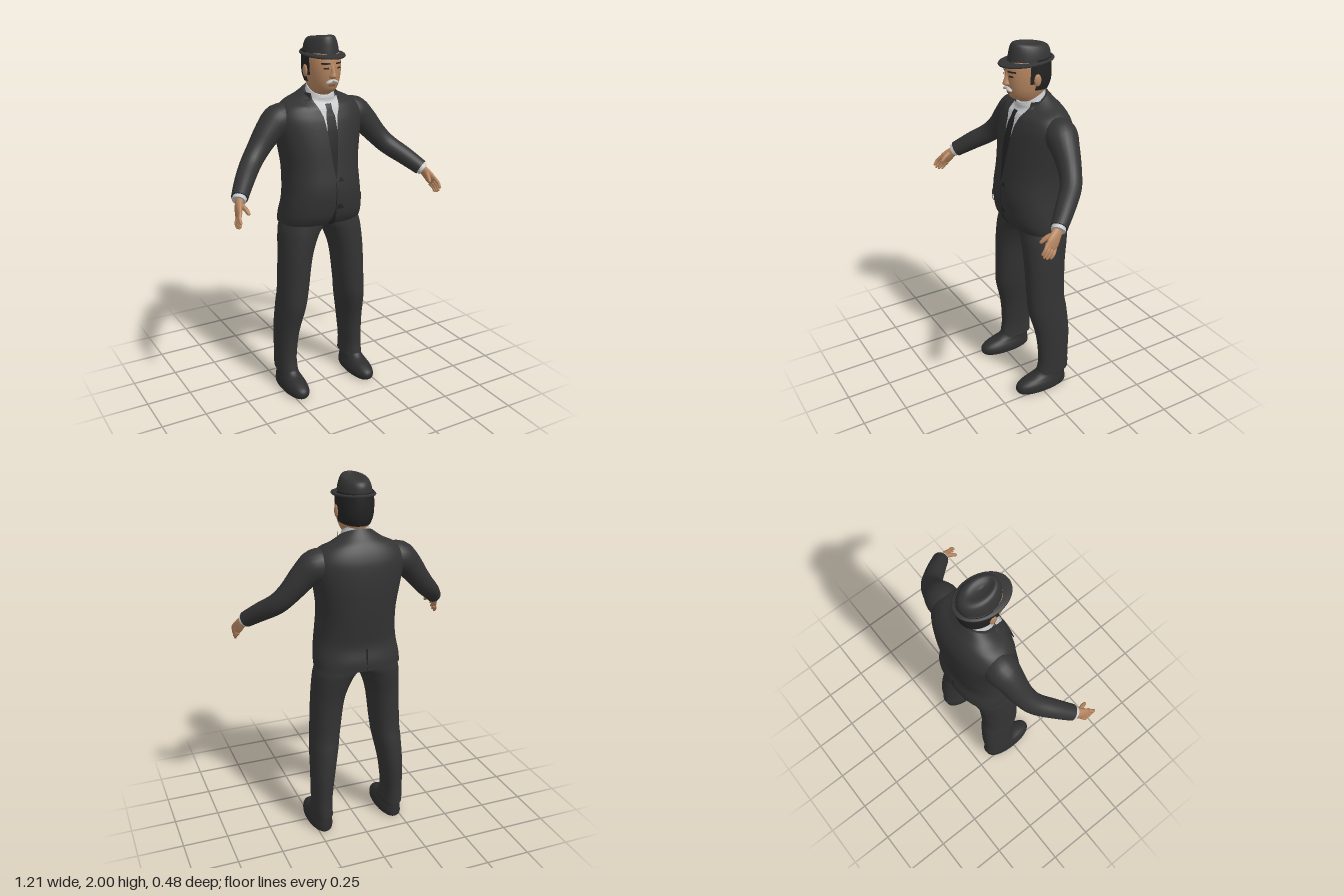
import * as THREE from 'three';

const mat = (name, color, side = THREE.FrontSide) => {
  const m = new THREE.MeshStandardMaterial({ color, side });
  m.name = name;
  return m;
};

// Surface through rows of points; closed rows wrap around and get flat end caps
function loft(rows, closed = true) {
  const n = rows[0].length, pos = [], idx = [];
  const add = (p) => pos.push(p.x, p.y, p.z) / 3 - 1;
  rows.forEach((r) => r.forEach(add));
  for (let i = 0; i < rows.length - 1; i++) {
    for (let j = 0; j < (closed ? n : n - 1); j++) {
      const a = i * n + j, b = i * n + (j + 1) % n;
      idx.push(a, a + n, b, b, a + n, b + n);
    }
  }
  if (closed) [rows[0], rows[rows.length - 1]].forEach((ring, end) => {
    const c = add(ring.reduce((s, p) => s.add(p), new THREE.Vector3()).divideScalar(n));
    ring.forEach(add);
    for (let j = 0; j < n; j++) {
      const a = c + 1 + j, b = c + 1 + (j + 1) % n;
      idx.push(c, end ? b : a, end ? a : b);
    }
  });
  const g = new THREE.BufferGeometry();
  g.setAttribute('position', new THREE.Float32BufferAttribute(pos, 3));
  g.setIndex(idx);
  g.computeVertexNormals();
  return g;
}

// Catmull-Rom refinement of every column in a table of rows
function refine(rows, k = 5) {
  const out = [], at = (i) => rows[Math.max(0, Math.min(rows.length - 1, i))];
  for (let i = 0; i < rows.length - 1; i++) {
    for (let s = 0; s < k; s++) {
      const t = s / k;
      out.push(rows[i].map((b, c) => {
        const a = at(i - 1)[c], d = at(i + 1)[c], e = at(i + 2)[c];
        return b + 0.5 * t * (d - a + t * (2 * a - 5 * b + 4 * d - e + t * (3 * (b - d) + e - a)));
      }));
    }
  }
  out.push(rows[rows.length - 1]);
  return out;
}

// Level rings from rows of [y, centre x, half width, front z, back z, roundness, rise at back]
function rings(rows, n = 40, a0 = 0, a1 = Math.PI * 2, closed = true) {
  const pw = (v, p) => Math.sign(v) * Math.abs(v) ** (2 / p);
  return rows.map(([y, cx, rx, zf, zb, p = 2, tilt = 0]) => Array.from({ length: n }, (_, j) => {
    const a = a0 + (a1 - a0) * j / (closed ? n : n - 1), s = pw(Math.sin(a), p);
    return new THREE.Vector3(cx + rx * pw(Math.cos(a), p), y - tilt * s, (zf + zb) / 2 + s * (zf - zb) / 2);
  }));
}

// Limb along a path from rows of [x, y, z, radius, second radius]
function limb(rows, side, ref, n = 18) {
  const r = refine(rows, 4), up = new THREE.Vector3(ref[0] * side, ref[1], ref[2]);
  const pts = r.map((q) => new THREE.Vector3(q[0] * side, q[1], q[2]));
  return loft(pts.map((c, i) => {
    const t = pts[Math.min(i + 1, pts.length - 1)].clone().sub(pts[Math.max(i - 1, 0)]).normalize();
    const u = up.clone().cross(t).normalize(), v = u.clone().cross(t);
    return Array.from({ length: n }, (_, j) => {
      const a = j / n * Math.PI * 2;
      return c.clone().addScaledVector(u, Math.cos(a) * r[i][3]).addScaledVector(v, Math.sin(a) * r[i][4]);
    });
  }));
}

// Depth of the front surface of a ringed body at x, y
function frontZ(body, x, y) {
  let yr = y, z = 0;
  for (let k = 0; k < 6; k++) {
    let i = 0;
    while (i < body.length - 2 && body[i + 1][0] < yr) i++;
    const t = THREE.MathUtils.clamp((yr - body[i][0]) / (body[i + 1][0] - body[i][0]), 0, 1);
    const [, , rx, zf, zb, p, tilt] = body[i].map((v, c) => v + (body[i + 1][c] - v) * t);
    const s = Math.max(0, 1 - Math.min(1, Math.abs(x) / rx) ** p) ** (1 / p);
    z = (zf + zb) / 2 + s * (zf - zb) / 2;
    yr = y + tilt * s;
  }
  return z;
}

// Thin plate lying on the front of a body, from rows of [y, x0, x1], top down
function panel(body, rows, off, side = 1) {
  const fine = [];
  rows.forEach((r, i) => {
    for (let k = 0; i && k <= 5; k++) fine.push(r.map((v, c) => rows[i - 1][c] + (v - rows[i - 1][c]) * k / 5));
  });
  return loft(fine.map(([y, x0, x1]) => Array.from({ length: 9 }, (_, j) => {
    const x = (side > 0 ? x0 : -x1) + (x1 - x0) * j / 8;
    return new THREE.Vector3(x, y, frontZ(body, x, y) + off);
  })), false);
}

export function createModel() {
  const model = new THREE.Group();
  const suit = mat('suit cloth', 0x333333, THREE.DoubleSide);
  const hatFelt = mat('hat felt', 0x343435);
  const dark = mat('tie and buttons', 0x242426, THREE.DoubleSide);
  const leather = mat('shoe leather', 0x2d2d2d);
  const skin = mat('skin', 0xb58560);
  const lips = mat('lips', 0x8d5a48, THREE.DoubleSide);
  const white = mat('shirt white', 0xc6c8ca, THREE.DoubleSide);
  const grey = mat('moustache grey', 0xc0c0be);
  const hairDark = mat('hair', 0x232222, THREE.DoubleSide);
  const part = (name, geo, m) => {
    const mesh = new THREE.Mesh(geo, m);
    mesh.name = name;
    model.add(mesh);
    return mesh;
  };
  const ball = (name, m, p, s, rz = 0) => {
    const b = part(name, new THREE.SphereGeometry(1, 20, 14), m);
    b.position.set(...p);
    b.scale.set(...s);
    b.rotation.z = rz;
  };

  // Jacket
  const torso = refine([
    [1.0, 0, 0.235, 0.07, -0.238, 2.5, 0], [1.05, 0, 0.234, 0.1, -0.238, 2.4, 0],
    [1.13, 0, 0.224, 0.117, -0.222, 2.3, 0], [1.21, 0, 0.215, 0.12, -0.23, 2.3, 0],
    [1.32, 0, 0.213, 0.103, -0.243, 2.3, 0], [1.45, 0, 0.233, 0.083, -0.25, 2.3, 0],
    [1.555, 0, 0.25, 0.06, -0.245, 2.3, 0], [1.61, 0, 0.238, 0.042, -0.23, 2.3, 0.005],
    [1.65, 0, 0.2, 0.03, -0.205, 2.2, 0.015], [1.675, 0, 0.14, 0.02, -0.175, 2, 0.028],
    [1.7, 0, 0.09, 0.012, -0.145, 2, 0.042]]);
  part('jacket', loft(rings(torso, 56)), suit);
  part('shirtFront', panel(torso, [[1.68, -0.078, 0.078], [1.64, -0.068, 0.068], [1.59, -0.043, 0.043],
    [1.52, -0.03, 0.03]], 0.004), white);
  part('tie', panel(torso, [[1.65, -0.018, 0.018], [1.62, -0.016, 0.016], [1.59, -0.026, 0.026],
    [1.4, -0.032, 0.032], [1.27, -0.004, 0.004]], 0.007), dark);
  part('shirtCollar', loft(rings([[1.68, 0, 0.082, 0.022, -0.14, 2, 0.04],
    [1.725, 0, 0.07, 0.01, -0.134, 2, 0.036]], 40)), white);
  part('jacketOpening', panel(torso, [[1.25, -0.003, 0.003], [1.1, -0.003, 0.003], [1.0, -0.03, 0.012]], 0.003), dark);
  [1.26, 1.11].forEach((y) => part('button', panel(torso, [[y + 0.014, 0.004, 0.03], [y - 0.012, 0.004, 0.05]], 0.007), dark));
  const vent = part('backVent', new THREE.BoxGeometry(0.005, 0.12, 0.008), dark);
  vent.position.set(0, 1.065, -0.235);

  // Head
  const head = refine([
    [1.64, 0, 0.062, 0.0, -0.125, 2, 0], [1.695, 0, 0.06, 0.004, -0.13, 2, 0],
    [1.712, 0, 0.06, 0.04, -0.132, 2, 0], [1.73, 0, 0.068, 0.06, -0.136, 2, 0],
    [1.76, 0, 0.079, 0.07, -0.145, 2.1, 0], [1.8, 0, 0.086, 0.076, -0.155, 2.2, 0],
    [1.85, 0, 0.09, 0.078, -0.16, 2.2, 0], [1.9, 0, 0.088, 0.068, -0.16, 2.2, 0],
    [1.94, 0, 0.07, 0.04, -0.14, 2, 0]], 4);
  part('head', loft(rings(head, 40)), skin);
  part('nose', loft(rings(refine([[1.787, 0, 0.012, 0.084, 0.05], [1.798, 0, 0.02, 0.1, 0.05],
    [1.82, 0, 0.013, 0.094, 0.05], [1.858, 0, 0.01, 0.079, 0.05]]), 16)), skin);
  part('mouth', panel(head, [[1.758, -0.022, 0.022], [1.746, -0.016, 0.016]], 0.004), lips);
  const hairRows = refine([[1.765, 0, 0.083, 0.074, -0.15, 2.1, -0.012], [1.8, 0, 0.092, 0.08, -0.165, 2.2, -0.006],
    [1.85, 0, 0.096, 0.082, -0.169, 2.2, 0], [1.92, 0, 0.092, 0.07, -0.166, 2.2, 0]]);
  part('hair', loft(rings(hairRows, 40, Math.PI - 0.02, Math.PI * 2 + 0.02, false), false), hairDark);

  // Hat
  part('hatBrim', loft(rings([[1.9, 0, 0.086, 0.068, -0.163, 2, 0.006], [1.896, 0, 0.106, 0.114, -0.183, 2, 0.007],
    [1.901, 0, 0.109, 0.117, -0.187, 2, 0.007], [1.907, 0, 0.106, 0.114, -0.183, 2, 0.007],
    [1.911, 0, 0.088, 0.066, -0.164, 2, 0.004]], 48)), hatFelt);
  part('hatCrown', loft(rings(refine([[1.9, 0, 0.088, 0.066, -0.166, 2, 0], [1.93, 0, 0.084, 0.062, -0.166, 2, -0.002],
    [1.96, 0, 0.076, 0.056, -0.162, 2, -0.007], [1.982, 0, 0.064, 0.046, -0.148, 2, -0.01],
    [1.99, 0, 0.046, 0.03, -0.122, 2, -0.009], [1.982, 0, 0.024, 0.01, -0.095, 2, -0.005],
    [1.977, 0, 0.004, -0.03, -0.06, 2, 0]]), 48)), hatFelt);

  for (const s of [1, -1]) {
    const side = s > 0 ? 'left' : 'right';

    // Lapel and pocket flap
    part(side + 'Lapel', panel(torso, [[1.705, 0.078, 0.09], [1.66, 0.07, 0.115], [1.59, 0.042, 0.125],
      [1.535, 0.034, 0.12], [1.525, 0.033, 0.135], [1.4, 0.02, 0.09], [1.25, 0, 0.01]], 0.009, s), suit);
    part(side + 'PocketFlap', panel(torso, [[1.145, 0.1, 0.19], [1.105, 0.1, 0.192]], 0.008, s), suit);

    // Face
    part(side + 'Eyebrow', panel(head, [[1.868, 0.016, 0.058], [1.86, 0.014, 0.06]], 0.005, s), hairDark);
    part(side + 'Eye', panel(head, [[1.845, 0.026, 0.046], [1.837, 0.022, 0.05]], 0.004, s), dark);
    const burn = s > 0 ? [-0.1, 0.25] : [Math.PI - 0.25, Math.PI + 0.1];
    part(side + 'Sideburn', loft(rings([[1.8, 0, 0.09, 0.08, -0.16, 2.2], [1.9, 0, 0.094, 0.078, -0.166, 2.2]],
      8, ...burn, false), false), hairDark);
    ball(side + 'Moustache', grey, [0.016 * s, 1.772, 0.073], [0.021, 0.009, 0.015], -0.4 * s);
    ball(side + 'Ear', skin, [0.095 * s, 1.82, -0.045], [0.01, 0.032, 0.02]);

    // Sleeve and cuff
    part(side + 'Sleeve', limb([[0.15, 1.575, -0.1, 0.07, 0.07], [0.225, 1.562, -0.1, 0.087, 0.087],
      [0.29, 1.512, -0.09, 0.073, 0.073], [0.36, 1.43, -0.073, 0.06, 0.06], [0.42, 1.365, -0.04, 0.055, 0.055],
      [0.49, 1.305, 0.035, 0.05, 0.05], [0.55, 1.248, 0.108, 0.043, 0.043]], s, [0, 1, 0.6], 24), suit);
    part(side + 'ShirtCuff', limb([[0.54, 1.257, 0.098, 0.037, 0.037], [0.56, 1.238, 0.12, 0.036, 0.036]], s, [0, 1, 0.6]), white);

    // Hand
    const palmFacing = [0.84, 0.21, -0.21];
    part(side + 'Palm', limb([[0.55, 1.247, 0.108, 0.024, 0.02], [0.566, 1.223, 0.135, 0.032, 0.02],
      [0.58, 1.195, 0.16, 0.038, 0.016], [0.59, 1.175, 0.178, 0.032, 0.01]], s, palmFacing), skin);
    [-0.03, -0.01, 0.01, 0.029].forEach((o, i) => {
      const len = [0.8, 1, 1.05, 0.95][i], y = 1.182 + o * 0.7, z = 0.172 + o * 0.7;
      part(side + 'Finger', limb([[0.584, y, z, 0.01, 0.01], [0.597, y - 0.025 * len, z + 0.02 * len, 0.01, 0.009],
        [0.597, y - 0.048 * len, z + 0.038 * len, 0.007, 0.007], [0.596, y - 0.052 * len, z + 0.041 * len, 0.002, 0.002]],
      s, palmFacing, 10), skin);
    });
    part(side + 'Thumb', limb([[0.565, 1.228, 0.142, 0.014, 0.012], [0.552, 1.213, 0.178, 0.013, 0.011],
      [0.545, 1.192, 0.205, 0.009, 0.008], [0.544, 1.187, 0.209, 0.002, 0.002]], s, [0.84, 0.3, 0.2], 10), skin);

    // Trouser leg and shoe: y, inner x, outer x, front z, back z
    const leg = [[0.1, 0.157, 0.27, 0.015, -0.186], [0.13, 0.16, 0.27, 0.008, -0.186], [0.2, 0.16, 0.27, 0.0, -0.184],
      [0.35, 0.143, 0.27, 0.012, -0.19], [0.5, 0.115, 0.265, 0.048, -0.18], [0.6, 0.1, 0.259, 0.054, -0.167],
      [0.8, 0.073, 0.25, 0.058, -0.174], [0.92, 0.03, 0.242, 0.058, -0.195], [0.98, -0.008, 0.232, 0.056, -0.205],
      [1.06, -0.02, 0.2, 0.05, -0.2]];
    const shoe = [[0, 0.16, 0.268, 0.13, -0.16], [0.012, 0.148, 0.28, 0.144, -0.17], [0.035, 0.146, 0.281, 0.149, -0.17],
      [0.058, 0.152, 0.276, 0.135, -0.168], [0.078, 0.16, 0.268, 0.095, -0.166], [0.1, 0.165, 0.262, 0.03, -0.165],
      [0.14, 0.168, 0.26, -0.01, -0.165]];
    const sided = (rows) => rings(refine(rows.map(([y, a, b, f, k]) => [y, s * (a + b) / 2, (b - a) / 2, f, k, 2.2])), 36);
    part(side + 'TrouserLeg', loft(sided(leg)), suit);
    part(side + 'Shoe', loft(sided(shoe)), leather);
  }
  return model;
}
